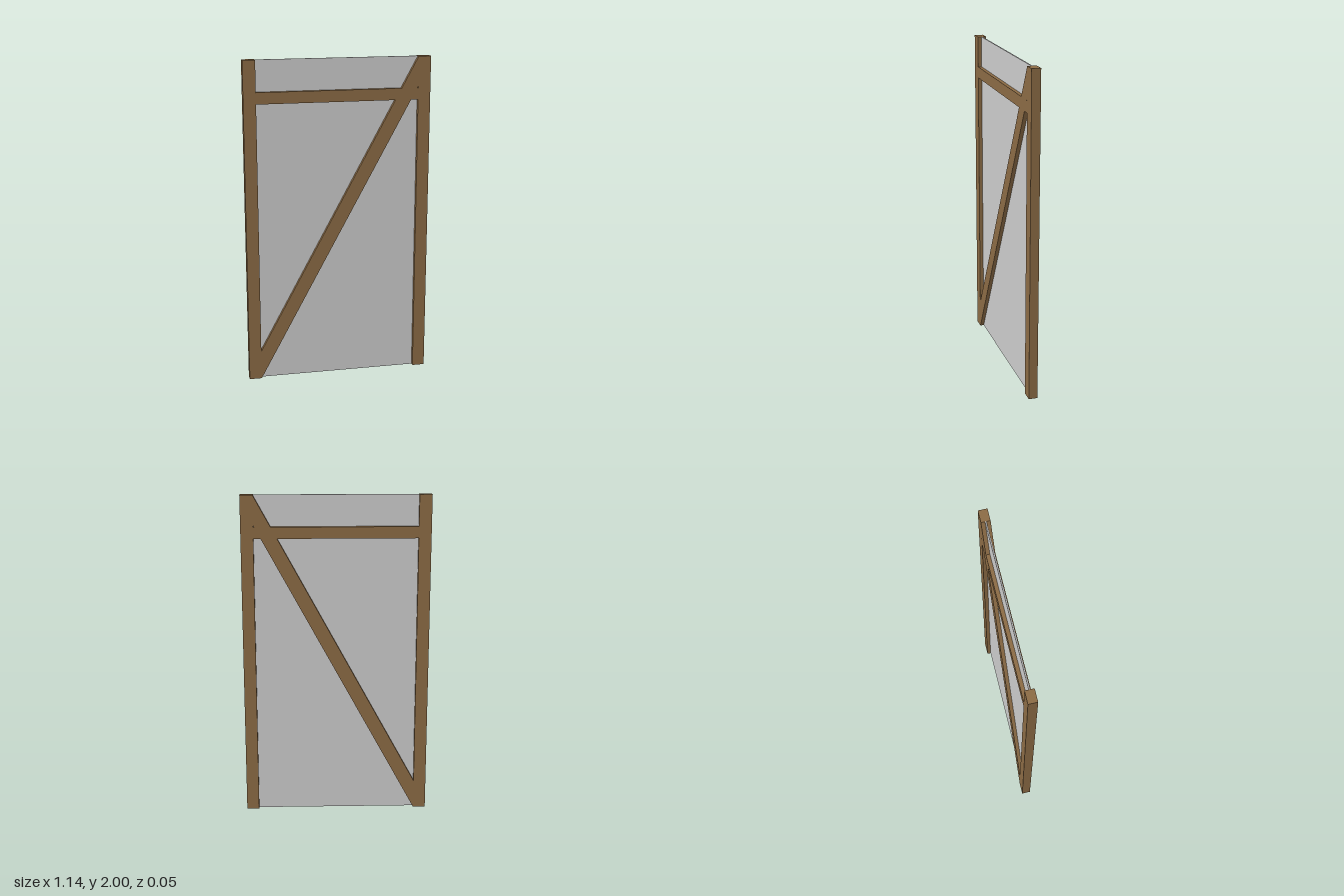
import * as THREE from 'three';

export function createModel() {
  const group = new THREE.Group();
  const wood = new THREE.MeshStandardMaterial({ color: 0x8b6b45 });
  const grey = new THREE.MeshStandardMaterial({ color: 0xcccccc });
  const depth = 0.054;
  const inner = 0.494, outer = 0.57;

  const add = (name, geometry, material) => {
    const mesh = new THREE.Mesh(geometry, material);
    mesh.name = name;
    group.add(mesh);
    return mesh;
  };
  // Box given by its x and y limits, centred on z = 0
  const board = (name, x0, x1, y0, y1, thick, material) =>
    add(name, new THREE.BoxGeometry(x1 - x0, y1 - y0, thick), material)
      .position.set((x0 + x1) / 2, (y0 + y1) / 2, 0);

  // Upright posts
  board('leftPost', inner, outer, 0, 2, depth, wood);
  board('rightPost', -outer, -inner, 0, 2, depth, wood);

  // Crossbar near the top
  board('topRail', -inner, inner, 1.74, 1.81, depth, wood);

  // Thin infill sheet between the posts
  board('panel', -inner, inner, 0, 2, 0.008, grey);

  // Diagonal brace, cut vertically where it meets the posts
  const outline = new THREE.Shape([
    new THREE.Vector2(-inner, 0),
    new THREE.Vector2(inner, 1.82),
    new THREE.Vector2(inner, 2),
    new THREE.Vector2(-inner, 0.18),
  ]);
  const brace = new THREE.ExtrudeGeometry(outline, { depth, bevelEnabled: false });
  brace.translate(0, 0, -depth / 2);
  add('diagonalBrace', brace, wood);

  return group;
}
